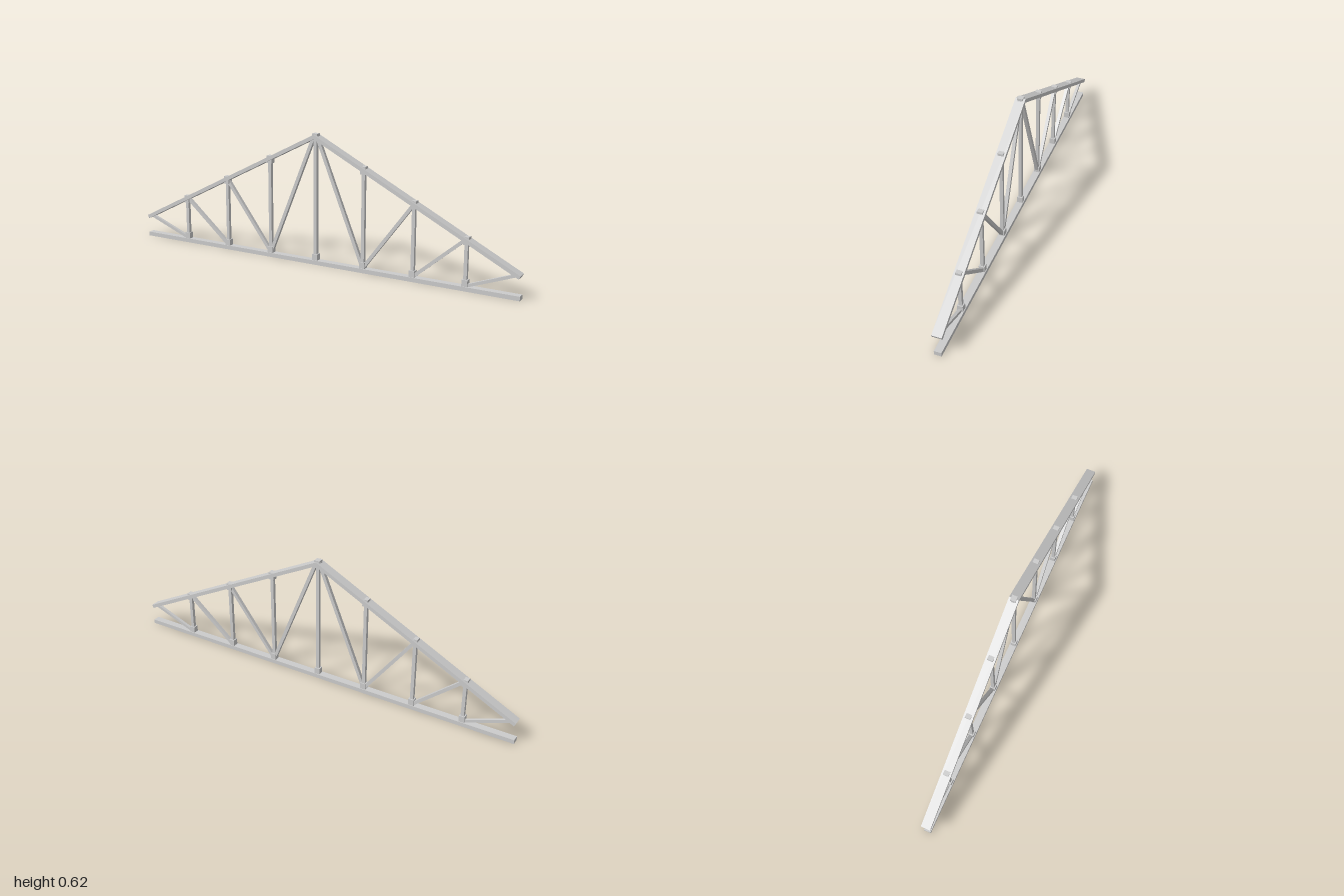
import * as THREE from 'three';

const material = new THREE.MeshStandardMaterial({ color: 0xcccccc });

export function createModel() {
  const model = new THREE.Group();
  model.name = 'roofTruss';

  function add(name, geometry, x = 0, y = 0, z = 0) {
    const mesh = new THREE.Mesh(geometry, material);
    mesh.name = name;
    mesh.position.set(x, y, z);
    model.add(mesh);
    return mesh;
  }

  // Square bar running between two points in the truss plane
  function bar(name, x1, y1, x2, y2, size = 0.016) {
    const length = Math.hypot(x2 - x1, y2 - y1);
    const mesh = add(name, new THREE.BoxGeometry(length, size, size), (x1 + x2) / 2, (y1 + y2) / 2);
    mesh.rotation.z = Math.atan2(y2 - y1, x2 - x1);
  }

  // Joint block, placed by its top face
  const block = (name, x, top, height) =>
    add(name, new THREE.BoxGeometry(0.027, height, 0.027), x, top - height / 2);

  const apexY = 0.621, endY = 0.1115, chordDepth = 0.0175;
  const slope = apexY - endY;
  const angle = Math.atan(slope);
  const roofY = (x) => apexY - slope * Math.abs(x);

  // Bottom chord
  add('bottomChord', new THREE.BoxGeometry(2, 0.02, 0.034), 0, 0.01);

  // Rafters: mitred at the ridge, cut square at the eaves
  for (const side of [-1, 1]) {
    const rafter = new THREE.Shape([
      new THREE.Vector2(0, apexY),
      new THREE.Vector2(side, endY),
      new THREE.Vector2(side * (1 - chordDepth * Math.sin(angle)), endY - chordDepth * Math.cos(angle)),
      new THREE.Vector2(0, apexY - chordDepth / Math.cos(angle)),
    ]);
    add(side > 0 ? 'leftRafter' : 'rightRafter',
      new THREE.ExtrudeGeometry(rafter, { depth: 0.046, bevelEnabled: false }), 0, 0, -0.023);
  }

  // Posts with their upper and lower joint blocks
  for (let i = -3; i <= 3; i++) {
    const x = i * 0.25;
    const top = i === 0 ? 0.625 : roofY(x) + 0.004;
    bar('post', x, 0.015, x, top - 0.012);
    block('lowerJoint', x, 0.05, 0.035);
    block('upperJoint', x, top, 0.036);
  }

  // Diagonal braces, mirrored about the ridge
  for (const side of [-1, 1]) {
    bar('endBrace', side * 0.75, 0.02, side * 0.99, 0.111, 0.014);
    bar('outerBrace', side * 0.5, 0.02, side * 0.75, roofY(0.75) - 0.006);
    bar('middleBrace', side * 0.25, 0.02, side * 0.5, roofY(0.5) - 0.012);
    bar('ridgeBrace', side * 0.25, 0.02, side * 0.008, 0.612);
  }

  return model;
}
